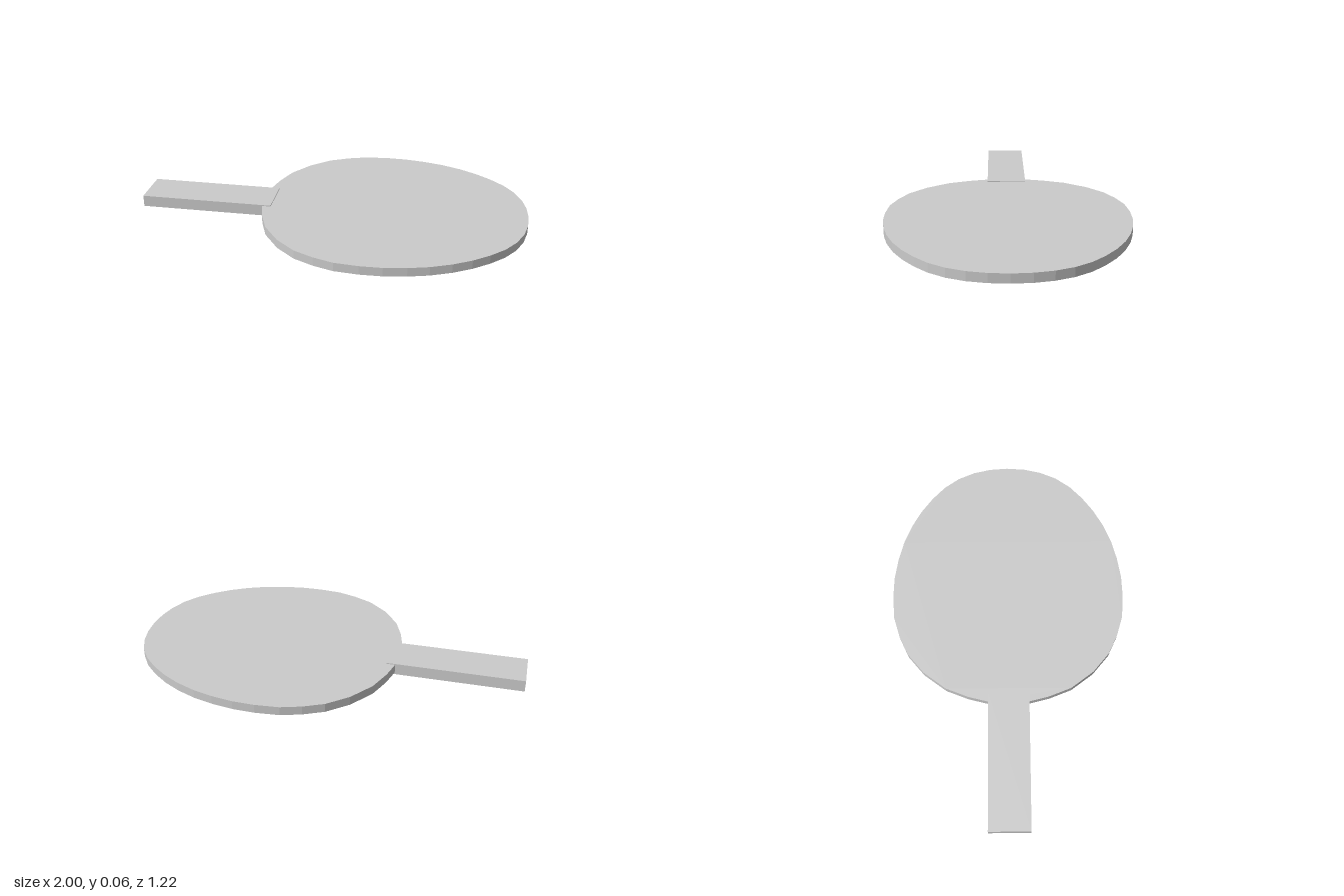
import * as THREE from 'three';

export function createModel() {
  const group = new THREE.Group();
  const material = new THREE.MeshStandardMaterial({ color: 0xcccccc, flatShading: true });

  // Half outline of the blade, from the handle to the far tip, as [x, z]
  const half = [
    [-0.37, 0], [-0.355, 0.105], [-0.33, 0.205], [-0.285, 0.32], [-0.2, 0.435],
    [-0.1, 0.52], [0, 0.567], [0.1, 0.598], [0.22, 0.608], [0.33, 0.605],
    [0.44, 0.588], [0.54, 0.562], [0.64, 0.522], [0.73, 0.472], [0.81, 0.413],
    [0.88, 0.347], [0.935, 0.27], [0.972, 0.185], [0.993, 0.095], [1, 0],
  ];
  // Mirror it across the long axis, leaving out the two shared end points
  const mirrored = half.slice(1, -1).reverse().map(([x, z]) => [x, -z]);
  const outline = [...half, ...mirrored].map(([x, z]) => new THREE.Vector2(x, z));

  // Flat egg-shaped blade
  const bladeGeometry = new THREE.ExtrudeGeometry(new THREE.Shape(outline), {
    depth: 0.045, bevelEnabled: false,
  });
  bladeGeometry.rotateX(-Math.PI / 2);
  const blade = new THREE.Mesh(bladeGeometry, material);
  blade.name = 'blade';
  blade.position.y = 0.01;
  group.add(blade);

  // Handle, slightly thicker than the blade and overlapping its edge
  const handle = new THREE.Mesh(new THREE.BoxGeometry(0.69, 0.06, 0.21), material);
  handle.name = 'handle';
  handle.position.set(-0.655, 0.03, 0);
  group.add(handle);

  return group;
}
